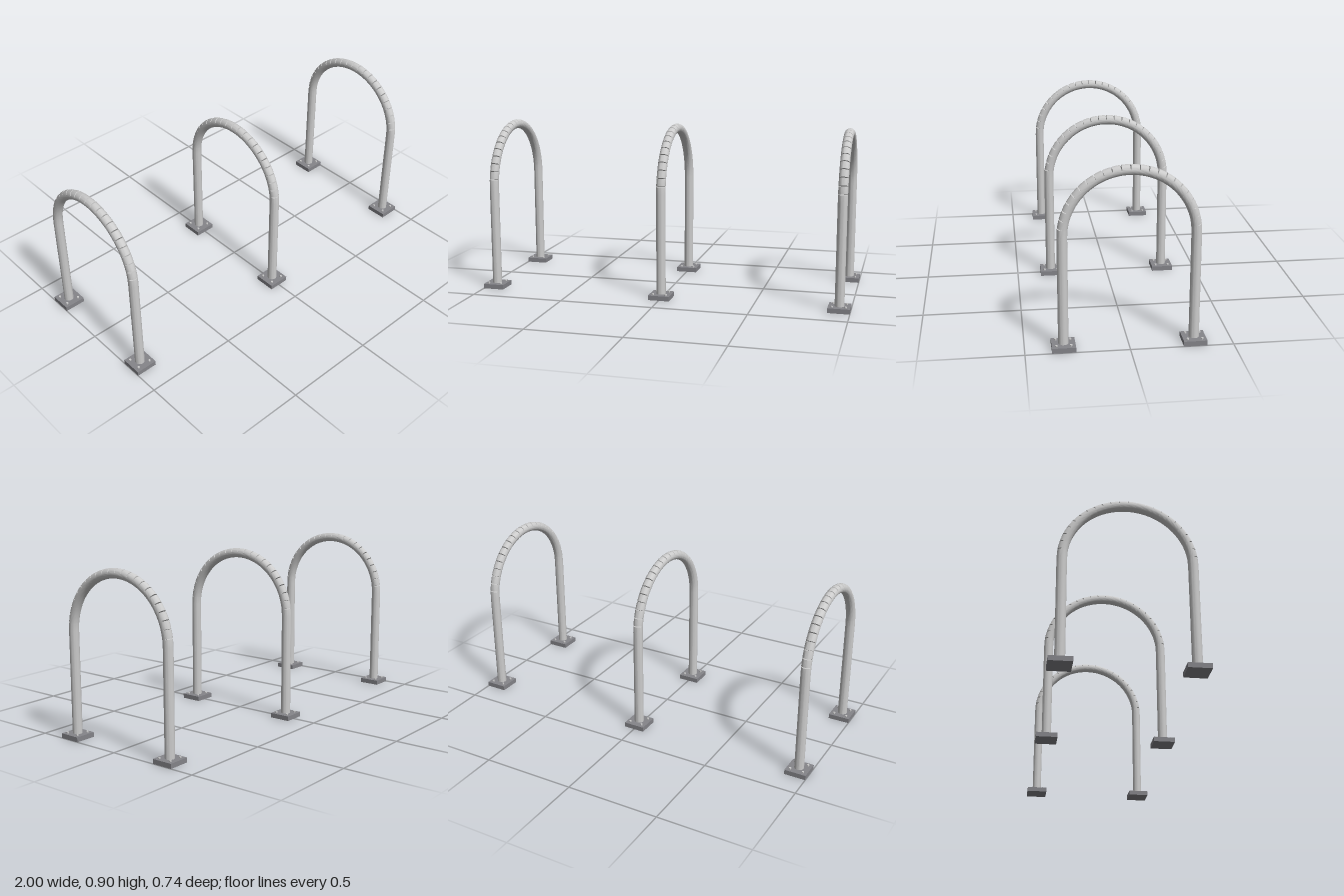
import * as THREE from 'three';
import { toCreasedNormals } from 'three/addons/utils/BufferGeometryUtils.js';

const TUBE_R = 0.025, BEND_R = 0.315, BEND_Y = 0.56, PLATE_H = 0.025;
const SIDES = 24, NOTCH_STEP = THREE.MathUtils.degToRad(7.5), NOTCHES_PER_SIDE = 11;
const NOTCH_HALF = 0.0075, NOTCH_DEPTH = 0.02;

const steel = new THREE.MeshStandardMaterial({ color: 0xcccccc });
const darkSteel = new THREE.MeshStandardMaterial({ color: 0x85858a });

// Hoop swept from cross-sections; rings at notch centres are cut flat on the outer side
function hoopGeometry() {
  const rings = [];
  const addRing = (angle, y = BEND_Y, cut = TUBE_R) => rings.push({ angle, y, cut });
  addRing(-Math.PI / 2, PLATE_H);
  addRing(-Math.PI / 2);
  for (let i = -NOTCHES_PER_SIDE; i <= NOTCHES_PER_SIDE; i++) {
    const a = i * NOTCH_STEP;
    addRing(a - NOTCH_HALF);
    addRing(a, BEND_Y, TUBE_R - NOTCH_DEPTH);
    addRing(a + NOTCH_HALF);
    if (i < NOTCHES_PER_SIDE) addRing(a + NOTCH_STEP / 2);
  }
  addRing(Math.PI / 2);
  addRing(Math.PI / 2, PLATE_H);

  const positions = [], index = [];
  rings.forEach(({ angle, y, cut }, r) => {
    for (let s = 0; s < SIDES; s++) {
      const t = (s / SIDES) * Math.PI * 2;
      const radius = BEND_R + Math.min(Math.cos(t) * TUBE_R, cut);
      positions.push(Math.sin(t) * TUBE_R, y + radius * Math.cos(angle), radius * Math.sin(angle));
      if (r === 0) continue;
      const n = (s + 1) % SIDES, a = (r - 1) * SIDES, b = r * SIDES;
      index.push(a + s, b + s, a + n, a + n, b + s, b + n);
    }
  });
  const geometry = new THREE.BufferGeometry();
  geometry.setAttribute('position', new THREE.Float32BufferAttribute(positions, 3));
  geometry.setIndex(index);
  return toCreasedNormals(geometry, 0.5);
}

function addMesh(parent, name, geometry, material, x, y, z) {
  const mesh = new THREE.Mesh(geometry, material);
  mesh.name = name;
  mesh.position.set(x, y, z);
  parent.add(mesh);
}

export function createModel() {
  const model = new THREE.Group();
  model.name = 'bikeRack';
  const hoop = hoopGeometry();
  const plate = new THREE.BoxGeometry(0.114, PLATE_H, 0.114);
  const bolt = new THREE.CylinderGeometry(0.006, 0.006, 0.008, 16);

  // Three identical stands in a row
  for (const x of [-0.943, 0, 0.943]) {
    const stand = new THREE.Group();
    stand.name = 'stand';
    stand.position.x = x;
    addMesh(stand, 'notchedHoop', hoop, steel, 0, 0, 0);

    // Bolted foot under each leg
    for (const z of [-BEND_R, BEND_R]) {
      const foot = new THREE.Group();
      foot.name = 'foot';
      foot.position.z = z;
      addMesh(foot, 'basePlate', plate, darkSteel, 0, PLATE_H / 2, 0);
      for (const bx of [-0.035, 0.035])
        for (const bz of [-0.035, 0.035])
          addMesh(foot, 'bolt', bolt, steel, bx, PLATE_H + 0.003, bz);
      stand.add(foot);
    }
    model.add(stand);
  }
  return model;
}
